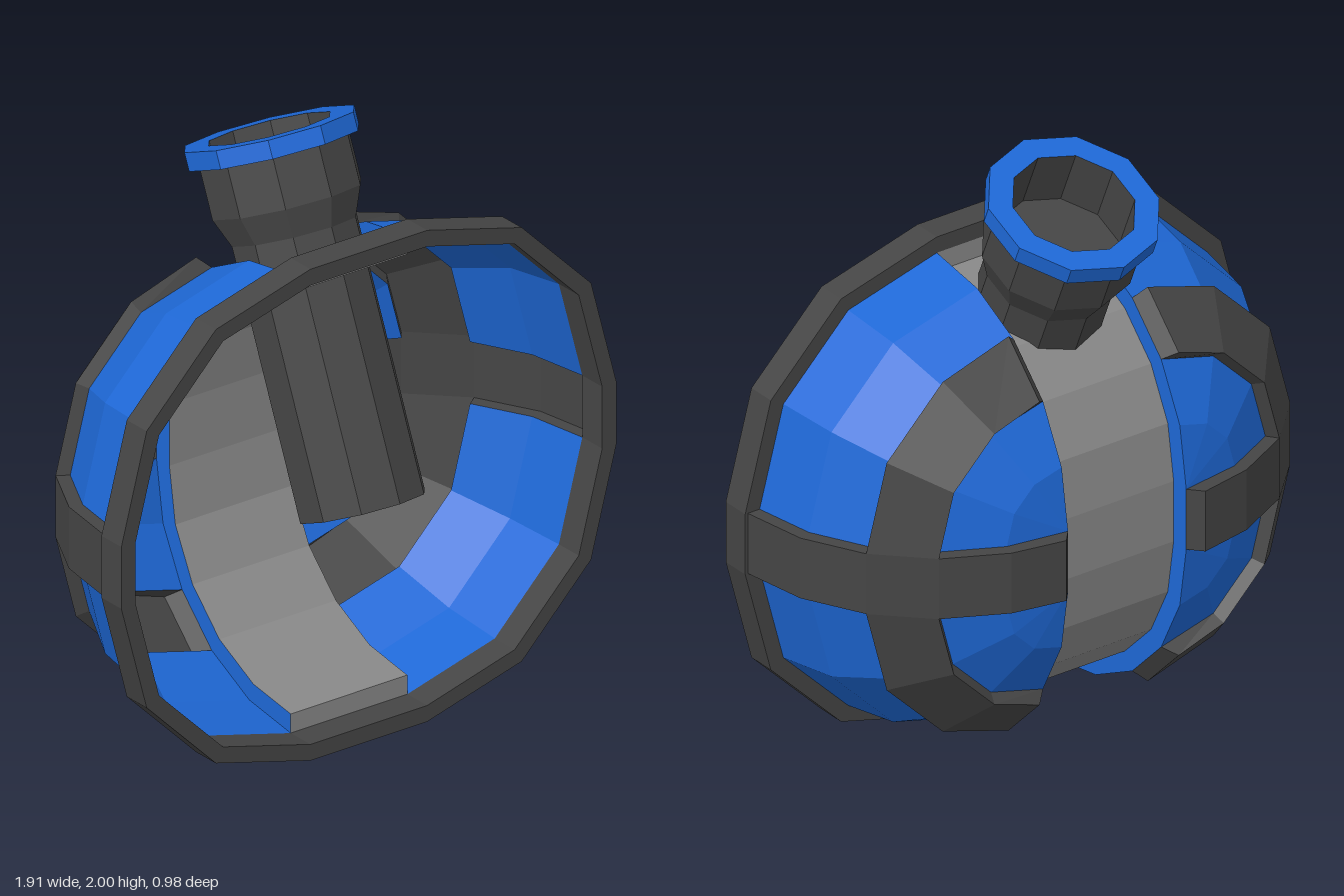
import * as THREE from 'three';

const HX = 0.225, HY = 0.105, CY = 0.835, Z0 = 0.23; // flat half-widths, centre height, rim plane
const R_IN = 0.61, R = 0.675, R_OUT = 0.72, R_RIM = 0.73;
const rad = THREE.MathUtils.degToRad;

const material = (color) =>
  new THREE.MeshStandardMaterial({ color, flatShading: true, side: THREE.DoubleSide });

// Mesh from four-cornered faces, skipping triangles that collapse at the pole
function quadMesh(name, quads, mat) {
  const pos = [];
  const tri = new THREE.Triangle();
  for (const [a, b, c, d] of quads) {
    for (const t of [[a, b, c], [a, c, d]]) {
      if (tri.set(...t).getArea() < 1e-7) continue;
      for (const p of t) pos.push(p.x, p.y, p.z);
    }
  }
  const geo = new THREE.BufferGeometry();
  geo.setAttribute('position', new THREE.Float32BufferAttribute(pos, 3));
  geo.computeVertexNormals();
  return named(name, geo, mat);
}

function named(name, geo, mat) {
  const mesh = new THREE.Mesh(geo, mat);
  mesh.name = name;
  return mesh;
}

// Column k = 0..7 runs from top to bottom of one half, row j = 0..5 from rim to pole
function shellPoint(side, k, j, r, minX = 0) {
  const lon = rad(k < 4 ? 90 - 30 * k : -30 * (k - 4));
  const lat = rad(18 * j);
  const flat = r * Math.cos(lat);
  return new THREE.Vector3(
    side * (HX + Math.max(minX, flat * Math.cos(lon))),
    CY + (k < 4 ? HY : -HY) + flat * Math.sin(lon),
    Z0 - r * Math.sin(lat));
}

// One half of the shell: plain panels, and raised bands with their side walls
function shellHalf(side, blue, dark) {
  const panels = [], bands = [];
  const isBand = (k, j) => k >= 0 && k < 7 && j < 5 && (k === 3 || j === 2);
  const low = ([k, j]) => shellPoint(side, k, j, R);
  const high = ([k, j]) => shellPoint(side, k, j, R_OUT, 0.04);
  const add = (list, q) => list.push(side > 0 ? q : q.reverse());
  for (let k = 0; k < 7; k++) {
    for (let j = 0; j < 5; j++) {
      const c = [[k, j], [k + 1, j], [k + 1, j + 1], [k, j + 1]];
      if (!isBand(k, j)) {
        add(panels, c.map(low));
        continue;
      }
      add(bands, c.map(high));
      const next = [[k, j - 1], [k + 1, j], [k, j + 1], [k - 1, j]];
      next.forEach(([nk, nj], e) => {
        if (nj < 0 || isBand(nk, nj)) return;
        const a = c[e], b = c[(e + 1) % 4];
        add(bands, [low(a), low(b), high(b), high(a)]);
      });
    }
  }
  const half = new THREE.Group();
  half.name = side > 0 ? 'leftShell' : 'rightShell';
  half.add(quadMesh('shellPanels', panels, blue), quadMesh('raisedBands', bands, dark));
  return half;
}

// Sunken strip between the halves, with the shell's cut edges on both sides
function centreStrip(grey, blue) {
  const profile = (r) => {
    const pts = [];
    for (let i = 0; i < 12; i++) {
      const s = i < 6 ? 1 : -1;
      const lat = rad(18 * (i < 6 ? i : 11 - i));
      pts.push([CY + s * (HY + r * Math.cos(lat)), Z0 - r * Math.sin(lat)]);
    }
    return pts;
  };
  const inner = profile(R_IN), outer = profile(R);
  const at = (x, p) => new THREE.Vector3(x, p[0], p[1]);
  const strip = [], edges = [];
  for (let i = 0; i < 11; i++) {
    const a = inner[i], b = inner[i + 1];
    strip.push([at(-HX, a), at(HX, a), at(HX, b), at(-HX, b)]);
    for (const s of [-1, 1]) {
      const q = [at(s * HX, a), at(s * HX, b), at(s * HX, outer[i + 1]), at(s * HX, outer[i])];
      edges.push(s < 0 ? q.reverse() : q);
    }
  }
  for (const i of [0, 11]) {
    const q = [at(-HX, inner[i]), at(HX, inner[i]), at(HX, outer[i]), at(-HX, outer[i])];
    strip.push(i ? q.reverse() : q);
  }
  const group = new THREE.Group();
  group.name = 'centreStrip';
  group.add(quadMesh('stripSurface', strip, grey), quadMesh('stripEdges', edges, blue));
  return group;
}

// Front rim: sixteen-sided frame
function rim(dark) {
  const outline = (r) => {
    const pts = [];
    for (let q = 0; q < 4; q++) {
      const sx = q === 0 || q === 3 ? 1 : -1, sy = q < 2 ? 1 : -1;
      for (let i = 0; i < 4; i++) {
        const a = rad(90 * q + 30 * i);
        pts.push(new THREE.Vector2(sx * HX + r * Math.cos(a), CY + sy * HY + r * Math.sin(a)));
      }
    }
    return pts;
  };
  const shape = new THREE.Shape(outline(R_RIM));
  shape.holes.push(new THREE.Path(outline(R)));
  const geo = new THREE.ExtrudeGeometry(shape, { depth: 0.1, bevelEnabled: false });
  geo.translate(0, 0, Z0);
  return named('rim', geo, dark);
}

// Tilted pipe with a flared, hollow mouth
function pipe(dark, blue) {
  const lathe = (pts) =>
    new THREE.LatheGeometry(pts.map(([x, y]) => new THREE.Vector2(x, y)), 10);
  const group = new THREE.Group();
  group.name = 'pipe';
  group.add(
    named('pipeBody', lathe([[0, 0], [0.205, 0], [0.205, 0.88], [0.245, 0.975], [0.245, 1.14]]), dark),
    named('mouthLining', lathe([[0.2, 1.2], [0.2, 1.0], [0, 1.0]]), dark),
    named('mouthRing', lathe([[0.245, 1.14], [0.28, 1.14], [0.28, 1.2], [0.2, 1.2]]), blue));
  group.position.set(0, 0.785, 0.298);
  group.rotation.x = rad(-23);
  return group;
}

export function createModel() {
  const blue = material(0x1e68d6), dark = material(0x454545), grey = material(0x888888);
  const model = new THREE.Group();
  model.name = 'model';
  for (const side of [1, -1]) model.add(shellHalf(side, blue, dark));
  model.add(centreStrip(grey, blue), rim(dark), pipe(dark, blue));
  return model;
}
